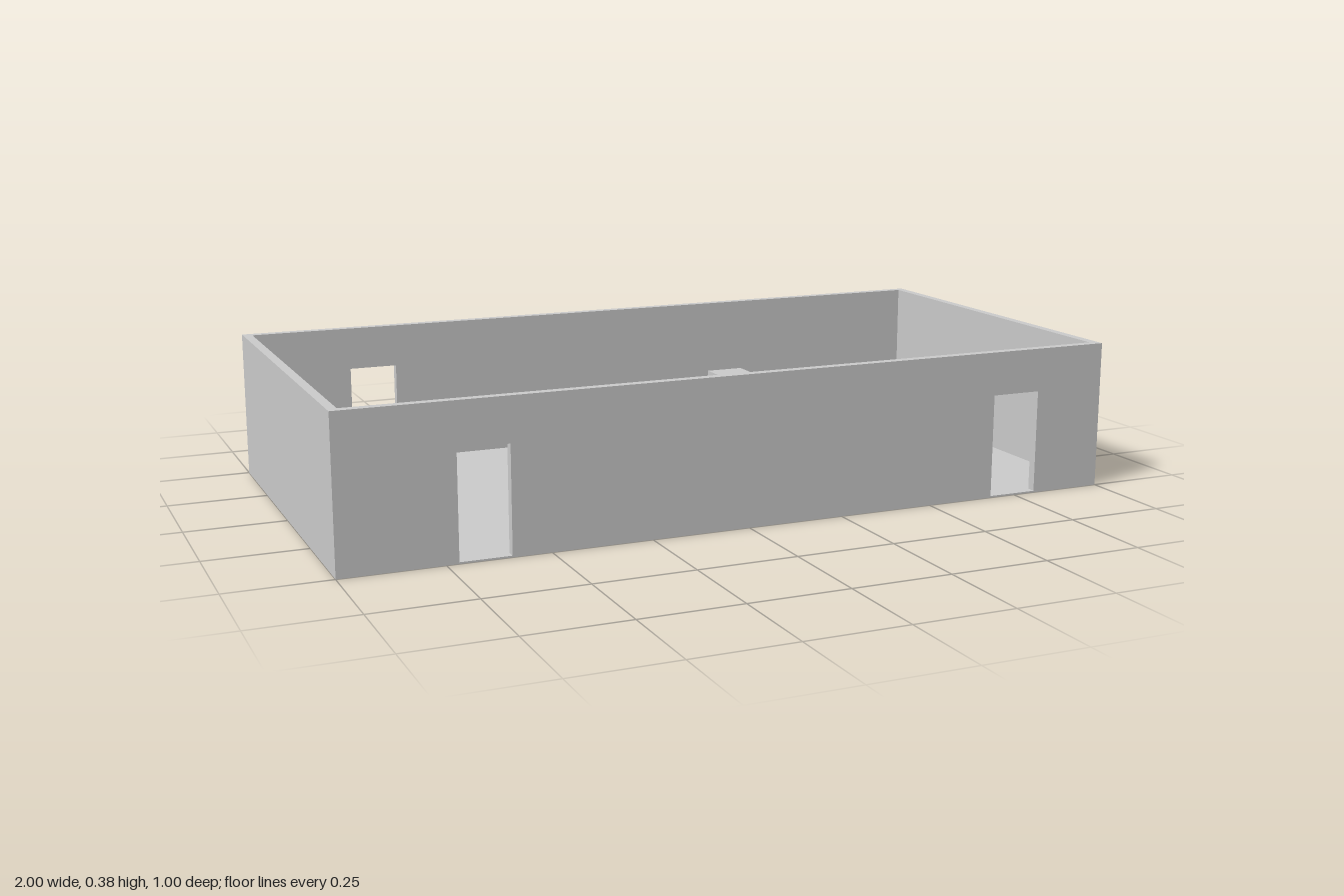
import * as THREE from 'three';

const H = 0.375, WALL = 0.023, FLOOR = 0.004, DOOR_TOP = 0.265;
const grey = new THREE.MeshStandardMaterial({ color: 0xcccccc });
const yellow = new THREE.MeshStandardMaterial({ color: 0xe6d60a });

// Box given by its minimum and maximum corners
function box(name, [x0, y0, z0], [x1, y1, z1], material = grey) {
  const mesh = new THREE.Mesh(new THREE.BoxGeometry(x1 - x0, y1 - y0, z1 - z0), material);
  mesh.position.set((x0 + x1) / 2, (y0 + y1) / 2, (z0 + z1) / 2);
  mesh.name = name;
  return mesh;
}

// Long wall whose outline steps up around each doorway
function longWall(name, z, doors) {
  const shape = new THREE.Shape();
  shape.moveTo(-1, FLOOR);
  for (const [a, b] of doors) {
    shape.lineTo(a, FLOOR);
    shape.lineTo(a, DOOR_TOP);
    shape.lineTo(b, DOOR_TOP);
    shape.lineTo(b, FLOOR);
  }
  shape.lineTo(1, FLOOR);
  shape.lineTo(1, H);
  shape.lineTo(-1, H);
  shape.closePath();
  const geometry = new THREE.ExtrudeGeometry(shape, { depth: WALL, bevelEnabled: false });
  const mesh = new THREE.Mesh(geometry, grey);
  mesh.position.z = z;
  mesh.name = name;
  return mesh;
}

// Chair facing local +x, with its backrest on the -x side
function chair(name, x, z, turn, material = grey) {
  const group = new THREE.Group();
  const h = 0.032, t = 0.007, seat = 0.056;
  for (const sx of [-1, 1]) {
    for (const sz of [-1, 1]) {
      const lx = sx * (h - t / 2), lz = sz * (h - t / 2);
      group.add(box('chairLeg', [lx - t / 2, 0, lz - t / 2], [lx + t / 2, seat, lz + t / 2], material));
    }
  }
  group.add(box('chairSeat', [-h, seat, -h], [h, seat + 0.007, h], material));
  for (const s of [-1, 1]) {
    const pz = s * (h - t / 2);
    group.add(box('chairBackPost', [-h, seat + 0.007, pz - t / 2], [-h + t, 0.12, pz + t / 2], material));
  }
  group.add(box('chairBackrest', [-h + 0.001, 0.088, -h + t], [-h + t - 0.001, 0.12, h - t], material));
  group.position.set(x, FLOOR, z);
  group.rotation.y = turn;
  group.name = name;
  return group;
}

export function createModel() {
  const room = new THREE.Group();
  room.name = 'room';

  // Shell
  const leftDoor = [-0.72, -0.595], rightDoor = [0.68, 0.81];
  room.add(box('floor', [-1, 0, -0.5], [1, FLOOR, 0.5]));
  room.add(longWall('frontWall', 0.5 - WALL, [leftDoor, rightDoor]));
  room.add(longWall('backWall', -0.5, [leftDoor]));
  for (const s of [-1, 1]) {
    const x = s * (1 - WALL / 2);
    room.add(box('endWall', [x - WALL / 2, FLOOR, -0.5 + WALL], [x + WALL / 2, H, 0.5 - WALL]));
  }

  // Wall board, counter and its gate
  room.add(box('wallBoard', [-1 + WALL, 0.105, -0.14], [-0.968, 0.288, 0.16], yellow));
  room.add(box('counter', [0.34, FLOOR, -0.5 + WALL], [0.445, 0.175, 0.355]));
  room.add(box('counterGate', [0.34, FLOOR, 0.355], [0.352, 0.182, 0.466], yellow));

  // Two rows of waiting chairs, back to back
  for (let i = 0; i < 4; i++) {
    const z = -0.173 + i * 0.122;
    room.add(chair('waitingChair', -0.202, z, Math.PI));
    if (i === 2) room.add(chair('yellowChair', -0.08, z - 0.004, 0.17, yellow));
    else room.add(chair('waitingChair', -0.08, z - 0.004, 0));
  }

  // Pair of desks with a chair on each side
  room.add(box('desk', [0.705, FLOOR, -0.322], [0.93, 0.103, -0.197]));
  room.add(box('desk', [0.705, FLOOR, -0.19], [0.93, 0.103, -0.065]));
  room.add(chair('deskChair', 0.818, -0.376, -Math.PI / 2));
  room.add(chair('deskChair', 0.827, -0.058, Math.PI / 2 + 0.1));
  return room;
}
